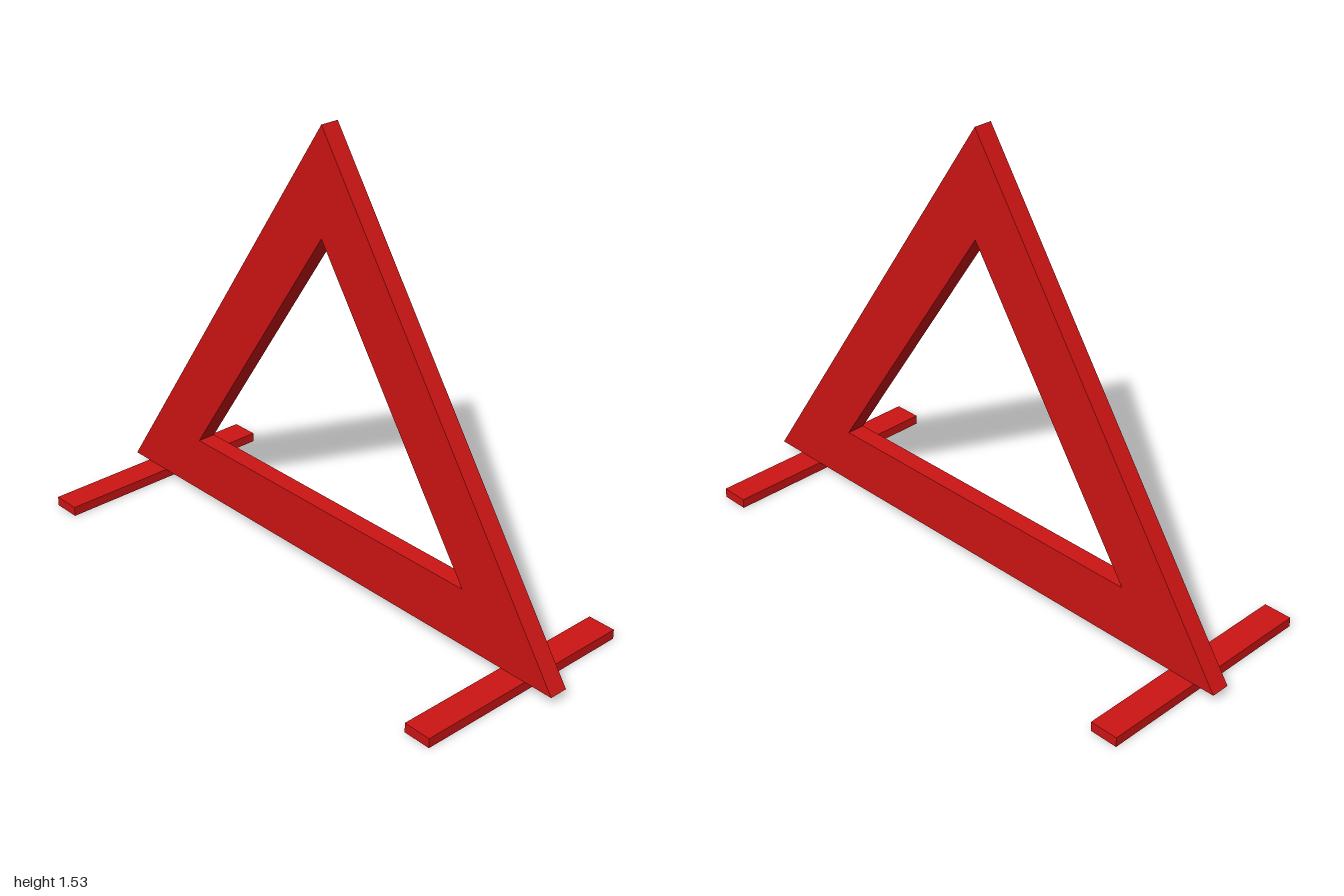
import * as THREE from 'three';

export function createModel() {
  const group = new THREE.Group();
  group.name = 'warningTriangle';
  const red = new THREE.MeshStandardMaterial({ color: 0xcc1414 });
  const footHeight = 0.033;

  // Upright triangular frame with a triangular opening
  const outline = new THREE.Shape([
    new THREE.Vector2(-1, footHeight),
    new THREE.Vector2(1, footHeight),
    new THREE.Vector2(0, 1.533),
  ]);
  outline.holes.push(new THREE.Path([
    new THREE.Vector2(-0.63, 0.23),
    new THREE.Vector2(0, 1.173),
    new THREE.Vector2(0.63, 0.23),
  ]));
  const frame = new THREE.Mesh(
    new THREE.ExtrudeGeometry(outline, { depth: 0.065, bevelEnabled: false }), red);
  frame.name = 'triangleFrame';
  frame.position.z = -0.061;
  group.add(frame);

  // Flat feet running front to back, slightly uneven about the centre
  for (const [name, x] of [['leftFoot', 0.847], ['rightFoot', -0.877]]) {
    const foot = new THREE.Mesh(new THREE.BoxGeometry(0.098, footHeight, 0.806), red);
    foot.name = name;
    foot.position.set(x, footHeight / 2, 0);
    group.add(foot);
  }
  return group;
}
